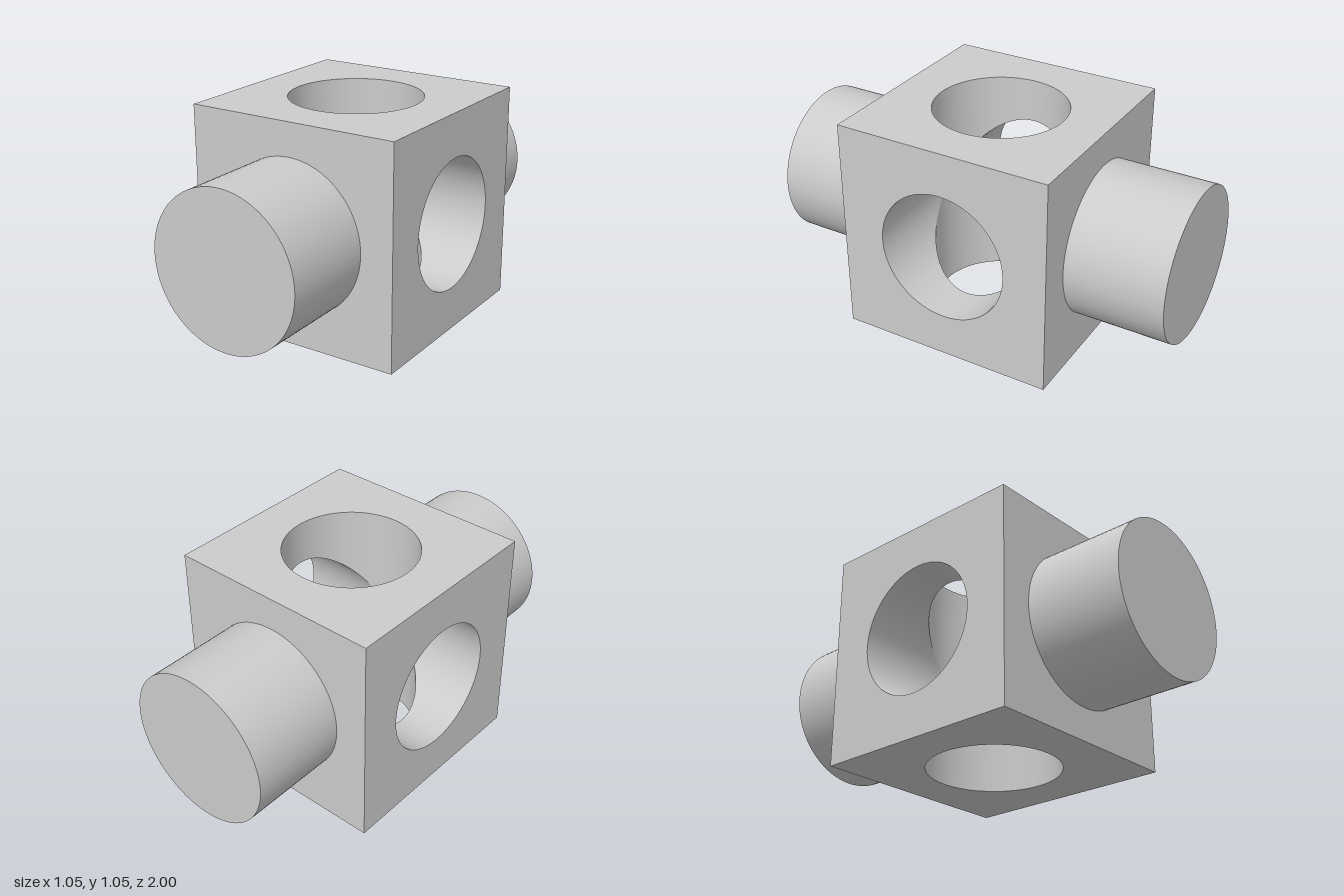
import * as THREE from 'three';

const HALF = 0.527;   // half the cube side
const BORE = 0.316;   // radius of the two crossing holes
const STUB = 0.368;   // radius of the end cylinders
const SEG = 96;

const material = new THREE.MeshStandardMaterial({ color: 0xcccccc });

function addMesh(parent, name, geometry) {
  const mesh = new THREE.Mesh(geometry, material);
  mesh.name = name;
  parent.add(mesh);
  return mesh;
}

// Square face of the cube with a round opening, facing +z at the cube's surface
function faceGeometry(radius) {
  const shape = new THREE.Shape([
    new THREE.Vector2(-HALF, -HALF), new THREE.Vector2(HALF, -HALF),
    new THREE.Vector2(HALF, HALF), new THREE.Vector2(-HALF, HALF),
  ]);
  shape.holes.push(new THREE.Path().absarc(0, 0, radius, 0, Math.PI * 2, true));
  return new THREE.ShapeGeometry(shape, SEG / 2).translate(0, 0, HALF);
}

// Wall of a hole from the cube's surface down to the saddle where the holes cross
function boreGeometry() {
  const geometry = new THREE.CylinderGeometry(BORE, BORE, 2, SEG, 1, true);
  const position = geometry.attributes.position;
  const normal = geometry.attributes.normal;
  for (let i = 0; i < position.count; i++) {
    position.setY(i, position.getY(i) > 0 ? HALF : Math.abs(position.getX(i)));
    normal.setXYZ(i, -normal.getX(i), 0, -normal.getZ(i));
  }
  // Turn the faces towards the axis
  geometry.setIndex(Array.from(geometry.index.array).reverse());
  return geometry;
}

export function createModel() {
  const model = new THREE.Group();
  model.name = 'crossBoredBlock';
  const body = new THREE.Group();
  body.name = 'body';
  body.position.y = HALF;
  model.add(body);

  // Four drilled sides: top, left, bottom, right
  const drilledFace = faceGeometry(BORE).rotateX(-Math.PI / 2);
  const bore = boreGeometry();
  ['top', 'right', 'bottom', 'left'].forEach((side, i) => {
    const angle = i * Math.PI / 2;
    addMesh(body, side + 'Face', drilledFace).rotation.z = angle;
    addMesh(body, side + 'Bore', bore).rotation.z = angle;
  });

  // Front and back faces, each with a solid round stub
  const length = 1 - HALF;
  const collarFace = faceGeometry(STUB);
  const stubSide = new THREE.CylinderGeometry(STUB, STUB, length, SEG, 1, true)
    .rotateX(Math.PI / 2).translate(0, 0, HALF + length / 2);
  const stubCap = new THREE.CircleGeometry(STUB, SEG).translate(0, 0, 1);
  ['front', 'back'].forEach((side, i) => {
    const end = new THREE.Group();
    end.name = side + 'End';
    end.rotation.y = i * Math.PI;
    addMesh(end, side + 'Face', collarFace);
    addMesh(end, side + 'Stub', stubSide);
    addMesh(end, side + 'StubCap', stubCap);
    body.add(end);
  });

  return model;
}
